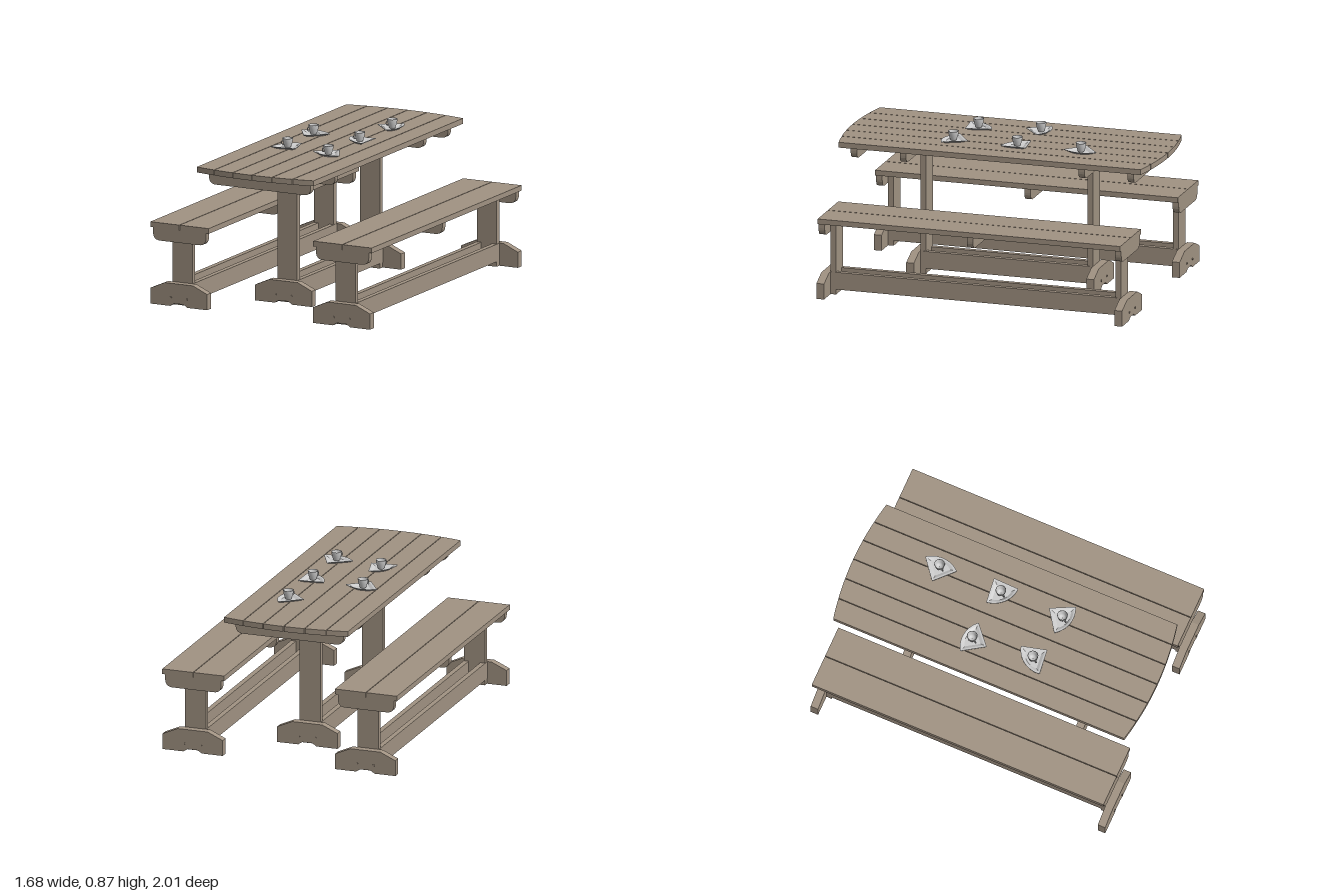
import * as THREE from 'three';

const wood = new THREE.MeshStandardMaterial({ color: 0xa09282 });
const china = new THREE.MeshStandardMaterial({ color: 0xcccccc, side: THREE.DoubleSide });

function add(parent, name, geometry, material, x = 0, y = 0, z = 0) {
  const mesh = new THREE.Mesh(geometry, material);
  mesh.name = name;
  mesh.position.set(x, y, z);
  parent.add(mesh);
  return mesh;
}

const box = (w, h, d) => new THREE.BoxGeometry(w, h, d);

// Extrude a front-facing outline to a thickness centred on z = 0
function slab(shape, depth) {
  const g = new THREE.ExtrudeGeometry(shape, { depth, bevelEnabled: false, curveSegments: 6 });
  return g.translate(0, 0, -depth / 2);
}

// Cross bar hanging down from y = 0, with rounded lower corners
function barGeometry(length, height, r) {
  const a = length / 2;
  const s = new THREE.Shape();
  s.moveTo(-a, 0);
  s.lineTo(-a, r - height);
  s.quadraticCurveTo(-a, -height, r - a, -height);
  s.lineTo(a - r, -height);
  s.quadraticCurveTo(a, -height, a, r - height);
  s.lineTo(a, 0);
  return slab(s, 0.036);
}

// Foot with chamfered shoulders and a shallow notch underneath
function footGeometry() {
  const pts = [[-0.18, 0], [-0.055, 0], [-0.03, 0.016], [0.03, 0.016], [0.055, 0], [0.18, 0],
    [0.18, 0.09], [0.09, 0.13], [-0.09, 0.13], [-0.18, 0.09]];
  return slab(new THREE.Shape(pts.map(([x, y]) => new THREE.Vector2(x, y))), 0.045);
}

// Trestle: two uprights, each with an outer foot and cross bar, joined by twin rails
function trestle(parent, legZ, legTop, barTop, barLength, barHeight) {
  const bar = barGeometry(barLength, barHeight, 0.045);
  const foot = footGeometry();
  const bolt = new THREE.CylinderGeometry(0.006, 0.006, 0.006, 8).rotateX(Math.PI / 2);
  for (const s of [-1, 1]) {
    add(parent, 'leg', box(0.125, legTop, 0.032), wood, 0, legTop / 2, s * legZ);
    add(parent, 'foot', foot, wood, 0, 0, s * (legZ + 0.0385));
    add(parent, 'crossBar', bar, wood, 0, barTop, s * (legZ + 0.034));
    for (const x of [-0.05, 0.05]) add(parent, 'bolt', bolt, wood, x, 0.048, s * (legZ + 0.062));
    add(parent, 'rail', box(0.03, 0.1, 2 * legZ + 0.033), wood, s * 0.05, 0.08, 0);
  }
  return bar;
}

function makeBench(x) {
  const bench = new THREE.Group();
  bench.name = 'bench';
  bench.position.x = x;
  for (const s of [-1, 1]) add(bench, 'seatPlank', box(0.183, 0.03, 1.78), wood, s * 0.0935, 0.452, 0);
  const bar = trestle(bench, 0.838, 0.437, 0.437, 0.335, 0.072);
  add(bench, 'middleBar', bar, wood, 0, 0.437, 0);
  return bench;
}

function makeTable() {
  const table = new THREE.Group();
  table.name = 'table';
  table.position.x = -0.038;
  const half = 0.372, count = 6, step = 2 * half / count;
  const end = x => 0.887 + 0.04 * (1 - (x / half) ** 2);
  // Planks follow a bowed outline at both ends
  for (let i = 0; i < count; i++) {
    const x0 = -half + i * step + 0.002, w = step - 0.004;
    const pts = [];
    for (let k = 0; k <= 4; k++) pts.push(new THREE.Vector2(x0 + w * k / 4, -end(x0 + w * k / 4)));
    for (let k = 4; k >= 0; k--) pts.push(new THREE.Vector2(x0 + w * k / 4, end(x0 + w * k / 4)));
    const g = slab(new THREE.Shape(pts), 0.031).rotateX(-Math.PI / 2);
    add(table, 'topPlank', g, wood, 0, 0.7965, 0);
  }
  const bar = trestle(table, 0.491, 0.775, 0.781, 0.645, 0.072);
  for (const s of [-1, 1]) add(table, 'endBar', bar, wood, 0, 0.781, s * 0.814);
  return table;
}

// Fan-shaped dish: one outline scaled through a rim profile
function saucerGeometry() {
  const cx = 0.005, n = 12, outline = [[-0.095, 0]];
  for (let k = 0; k <= n; k++) {
    const a = (-41 + 82 * k / n) * Math.PI / 180;
    outline.push([0.15 * Math.cos(a) - 0.095, 0.15 * Math.sin(a)]);
  }
  const rings = [[0, 0], [0.6, 0], [1, 0.012], [1, 0.015], [0.82, 0.013], [0.6, 0.005], [0, 0.005]];
  const pos = [], index = [], m = outline.length;
  for (const [s, y] of rings) for (const [x, z] of outline) pos.push(cx + (x - cx) * s, y, z * s);
  for (let r = 0; r < rings.length - 1; r++) {
    for (let j = 0; j < m; j++) {
      const a = r * m + j, b = r * m + (j + 1) % m;
      index.push(a, a + m, b, a + m, b + m, b);
    }
  }
  const g = new THREE.BufferGeometry();
  g.setAttribute('position', new THREE.Float32BufferAttribute(pos, 3));
  g.setIndex(index);
  const flat = g.toNonIndexed();
  flat.computeVertexNormals();
  return flat;
}

function makePlaceSettings() {
  const settings = new THREE.Group();
  settings.name = 'placeSettings';
  const saucer = saucerGeometry();
  const profile = [[0, 0], [0.017, 0], [0.019, 0.006], [0.026, 0.026], [0.03, 0.052],
    [0.027, 0.052], [0.022, 0.025], [0.015, 0.009], [0, 0.008]];
  const cup = new THREE.LatheGeometry(profile.map(([x, y]) => new THREE.Vector2(x, y)), 20);
  const handle = new THREE.TorusGeometry(0.013, 0.003, 6, 14, Math.PI).rotateZ(-Math.PI / 2);
  // Cup x, z and the direction its saucer fans out
  const places = [[0.185, -0.44, 1, 0.22], [-0.185, -0.16, 0.3, -0.95], [0.117, -0.07, -0.8, 0.62],
    [-0.218, 0.198, -0.72, -0.7], [0.055, 0.3, -0.4, 0.9]];
  for (const [x, z, dx, dz] of places) {
    const place = new THREE.Group();
    place.name = 'cupAndSaucer';
    place.position.set(x, 0.8125, z);
    add(place, 'saucer', saucer, china).rotation.y = Math.atan2(-dz, dx);
    add(place, 'cup', cup, china, 0, 0.006, 0);
    add(place, 'cupHandle', handle, china, -0.018, 0.036, 0.018).rotation.y = -Math.PI * 0.75;
    settings.add(place);
  }
  return settings;
}

export function createModel() {
  const model = new THREE.Group();
  model.name = 'picnicTableSet';
  const furniture = new THREE.Group();
  furniture.name = 'furniture';
  furniture.rotation.y = -0.17;
  furniture.add(makeTable(), makeBench(-0.516), makeBench(0.516));
  model.add(furniture, makePlaceSettings());
  return model;
}
